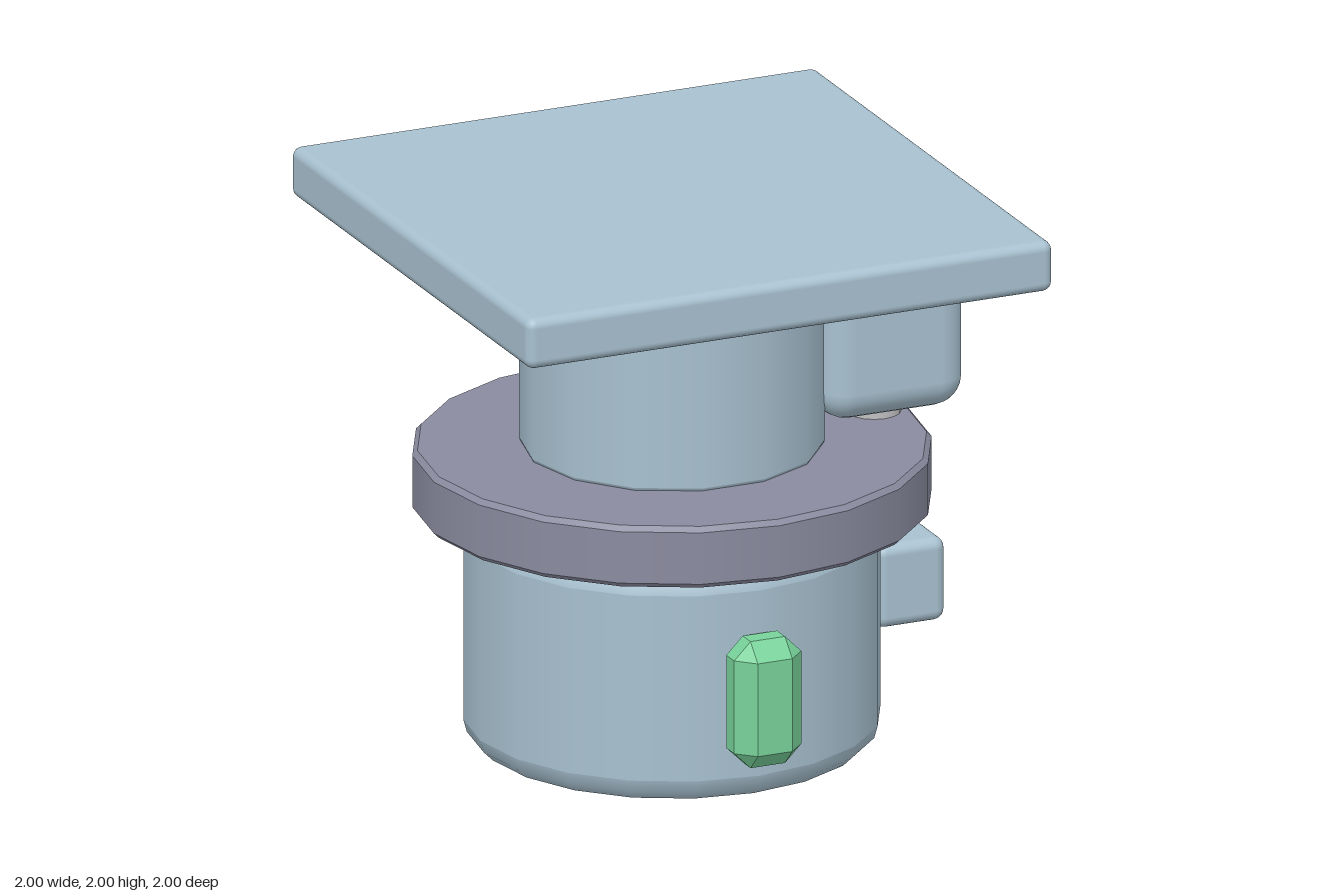
import * as THREE from 'three';
import { RoundedBoxGeometry } from 'three/addons/geometries/RoundedBoxGeometry.js';
import { ConvexGeometry } from 'three/addons/geometries/ConvexGeometry.js';

function material(name, color) {
  const m = new THREE.MeshStandardMaterial({ color });
  m.name = name;
  return m;
}

// Upright disc with rounded rims; doubled points keep caps flat and walls straight
function roundedDrum(radius, y0, y1, bevel, sides, steps) {
  const pts = [new THREE.Vector2(0, y0)];
  const rim = (cy, from) => {
    for (let i = 0; i <= steps; i++) {
      const a = from + (i / steps) * Math.PI / 2;
      const p = new THREE.Vector2(radius - bevel + bevel * Math.cos(a), cy + bevel * Math.sin(a));
      pts.push(p);
      if (i === 0 || i === steps) pts.push(p.clone());
    }
  };
  rim(y0 + bevel, -Math.PI / 2);
  rim(y1 - bevel, 0);
  pts.push(new THREE.Vector2(0, y1));
  return new THREE.LatheGeometry(pts, sides);
}

// Box with every edge and corner cut flat
function chamferedBox(w, h, d, c) {
  const pts = [];
  for (const x of [-1, 1]) for (const y of [-1, 1]) for (const z of [-1, 1]) {
    const X = x * w / 2, Y = y * h / 2, Z = z * d / 2;
    pts.push(
      new THREE.Vector3(X, Y - y * c, Z - z * c),
      new THREE.Vector3(X - x * c, Y, Z - z * c),
      new THREE.Vector3(X - x * c, Y - y * c, Z));
  }
  return new ConvexGeometry(pts);
}

export function createModel() {
  const group = new THREE.Group();
  const blue = material('pale blue', 0xa8c1d0);
  const slate = material('slate violet', 0x8a8b9f);
  const steel = material('light steel', 0xc2c0c2);
  const green = material('indicator green', 0x78d29a);

  const add = (name, geometry, mat, x = 0, y = 0, z = 0) => {
    const mesh = new THREE.Mesh(geometry, mat);
    mesh.name = name;
    mesh.position.set(x, y, z);
    group.add(mesh);
    return mesh;
  };

  // Central stack
  add('baseDrum', roundedDrum(0.727, 0.005, 0.865, 0.09, 20, 3), blue);
  add('turntableRing', roundedDrum(0.905, 0.865, 1.09, 0.018, 20, 1), slate);
  add('upperColumn', roundedDrum(0.53, 1.08, 1.82, 0.02, 14, 2), blue).rotation.y = Math.PI / 2;
  add('topPlate', new RoundedBoxGeometry(2, 0.185, 2, 3, 0.035), blue, 0, 1.9075, 0);

  // Side drive: motor, shaft through the ring, lower bearing block
  add('motorHousing', new RoundedBoxGeometry(0.545, 0.65, 0.615, 3, 0.11), blue, 0.7275, 1.488, 0);
  add('driveShaft', new THREE.CylinderGeometry(0.094, 0.094, 0.62, 16), steel, 0.768, 0.91, 0);
  add('bearingBlock', new RoundedBoxGeometry(0.265, 0.305, 0.38, 3, 0.04), blue, 0.8275, 0.503, 0);

  // Front status light
  add('indicatorLight', chamferedBox(0.255, 0.465, 0.19, 0.062), green, 0, 0.39, 0.77);

  return group;
}
